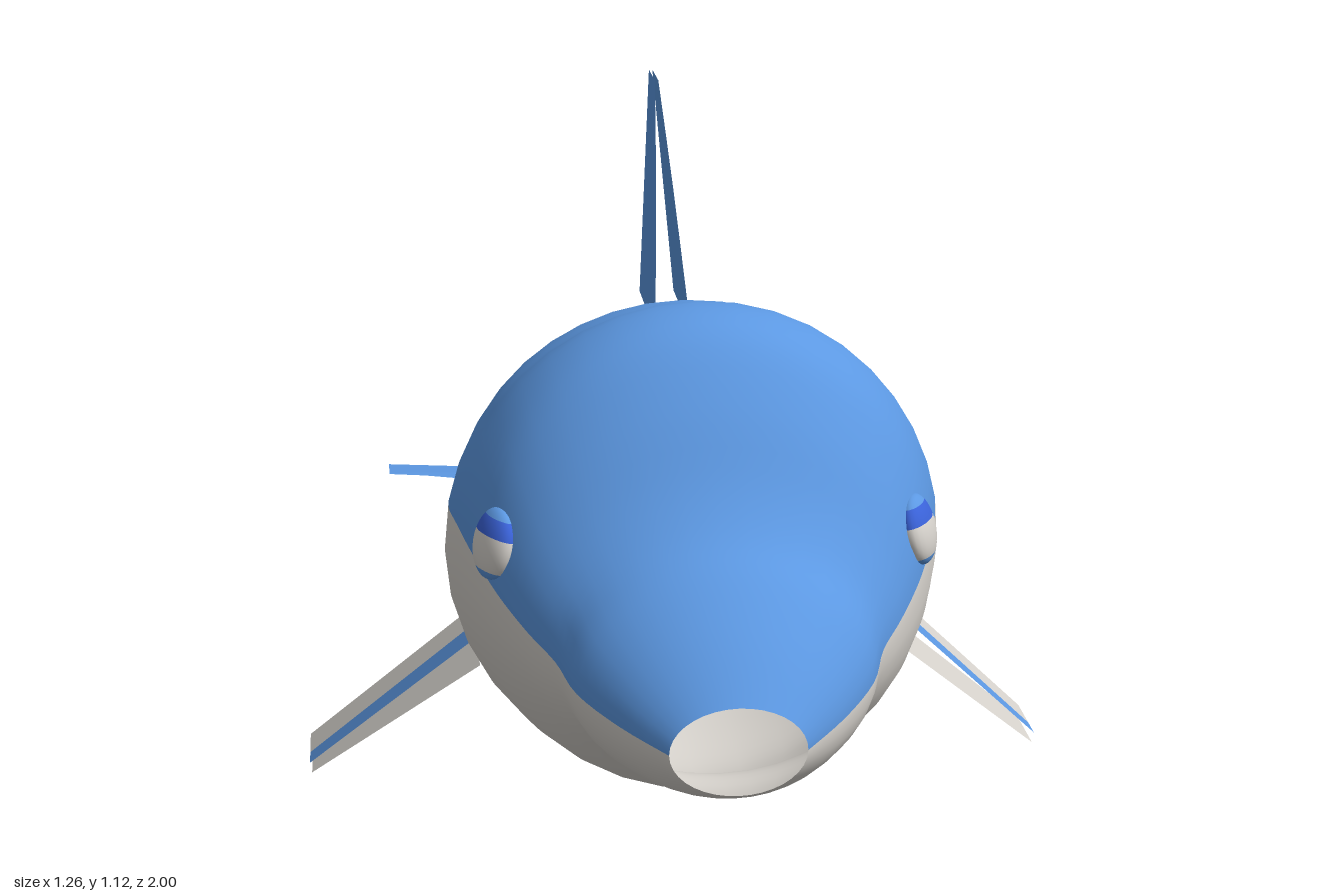
import * as THREE from 'three';

const mat = (name, color) => {
  const m = new THREE.MeshStandardMaterial({ color, side: THREE.DoubleSide });
  m.name = name;
  return m;
};

// Body stations, nose to tail: z, top, bottom, half width, height of colour line
const STATIONS = [
  [1.0, 0.435, 0.3, 0.1, 0.367],
  [0.93, 0.506, 0.265, 0.165, 0.385],
  [0.85, 0.57, 0.243, 0.22, 0.405],
  [0.78, 0.612, 0.237, 0.246, 0.428],
  [0.72, 0.675, 0.208, 0.285, 0.455],
  [0.65, 0.78, 0.162, 0.325, 0.49],
  [0.57, 0.868, 0.12, 0.358, 0.525],
  [0.48, 0.893, 0.093, 0.382, 0.546],
  [0.4, 0.87, 0.085, 0.396, 0.551],
  [0.3, 0.85, 0.107, 0.383, 0.55],
  [0.15, 0.806, 0.132, 0.358, 0.54],
  [0, 0.745, 0.142, 0.33, 0.505],
  [-0.2, 0.66, 0.132, 0.292, 0.42],
  [-0.4, 0.53, 0.127, 0.216, 0.325],
  [-0.6, 0.37, 0.112, 0.132, 0.228],
  [-0.75, 0.235, 0.095, 0.07, 0.155],
];

// Open tube of elliptical rings, each split into a back and a belly arc
function bodyGeometry(rings = 60, half = 18) {
  const curves = [1, 2, 3, 4].map(
    (k) => new THREE.SplineCurve(STATIONS.map((s) => new THREE.Vector2(s[0], s[k])))
  );
  const n = half * 2;
  const pos = [];
  for (let i = 0; i <= rings; i++) {
    const p = curves.map((c) => c.getPoint(i / rings));
    const [top, bottom, w, line] = p.map((v) => v.y);
    const cy = (top + bottom) / 2;
    const ry = (top - bottom) / 2;
    const a0 = Math.asin(THREE.MathUtils.clamp((line - cy) / ry, -0.9, 0.9));
    for (let j = 0; j < n; j++) {
      const a = j < half
        ? a0 + (j / half) * (Math.PI - 2 * a0)
        : Math.PI - a0 + ((j - half) / half) * (Math.PI + 2 * a0);
      pos.push(w * Math.cos(a), cy + ry * Math.sin(a), p[0].x);
    }
  }
  const index = [];
  const geo = new THREE.BufferGeometry();
  for (let g = 0; g < 2; g++) {
    const start = index.length;
    for (let i = 0; i < rings; i++) {
      for (let j = g * half; j < (g + 1) * half; j++) {
        const a = i * n + j;
        const b = i * n + ((j + 1) % n);
        index.push(a, a + n, b, b, a + n, b + n);
      }
    }
    geo.addGroup(start, index.length - start, g);
  }
  geo.setAttribute('position', new THREE.Float32BufferAttribute(pos, 3));
  geo.setIndex(index);
  geo.computeVertexNormals();
  return geo;
}

// Thin sheet: flat outline in (s, z), placed in space by the rule s -> [x, y]
function sheet(name, outline, place, material) {
  const geo = new THREE.ShapeGeometry(
    new THREE.Shape(outline.map(([s, z]) => new THREE.Vector2(s, z)))
  );
  const p = geo.attributes.position;
  for (let i = 0; i < p.count; i++) {
    const [x, y] = place(p.getX(i));
    p.setXYZ(i, x, y, p.getY(i));
  }
  geo.computeVertexNormals();
  const mesh = new THREE.Mesh(geo, material);
  mesh.name = name;
  return mesh;
}

export function createModel() {
  const blue = mat('skyBlue', 0x5c98e2);
  const grey = mat('bellyGrey', 0xd8d4ce);
  const royal = mat('irisBlue', 0x3a62d8);
  const model = new THREE.Group();
  model.name = 'dolphin';

  const body = new THREE.Mesh(bodyGeometry(), [blue, grey]);
  body.name = 'body';
  model.add(body);

  const dorsal = [
    [0.745, 0.11], [0.79, 0.085], [0.87, 0.035], [0.96, -0.025],
    [1.04, -0.09], [1.12, -0.16], [1.12, -0.265], [0.745, -0.165],
  ];
  const fluke = [
    [0, -0.76], [0.1, -0.82], [0.2, -0.873], [0.3, -0.912],
    [0.4, -0.934], [0.473, -0.94], [0.473, -1], [0, -0.88],
  ];
  // Flipper outlines run from root (s = 0) to tip (s = 1)
  const flipperBack = [[0, 0.28], [0, 0.355], [1, 0.125], [1, 0.045]];
  const flipperFront = [[0, 0.355], [0, 0.42], [1, 0.17], [1, 0.125]];
  const flipperUnder = [[0, 0.28], [0, 0.435], [1, 0.17], [1, 0.045]];

  for (const side of [1, -1]) {
    const label = side > 0 ? 'left' : 'right';

    // Dorsal fin: two sheets leaning together at the top
    model.add(sheet(label + 'DorsalFin', dorsal,
      (s) => [side * (0.003 + 0.027 * (1.12 - s) / 0.375), s], blue));

    // Tail fluke: upper and lower sheets closing towards the tip
    model.add(sheet(label + 'FlukeTop', fluke,
      (s) => [side * s, 0.18 - 0.02 * s], blue));
    model.add(sheet(label + 'FlukeUnder', fluke,
      (s) => [side * s, 0.145 + 0.05 * s], blue));

    // Flipper: striped upper sheet over a plain lower sheet
    const upper = (s) => [side * (0.355 + 0.273 * s), 0.328 - 0.31 * s];
    const lower = (s) => [side * (0.345 + 0.28 * s), 0.29 - 0.29 * s];
    model.add(sheet(label + 'FlipperTop', flipperBack, upper, grey));
    model.add(sheet(label + 'FlipperStripe', flipperFront, upper, blue));
    model.add(sheet(label + 'FlipperUnder', flipperUnder, lower, grey));

    // Eye: flattened ball in horizontal bands
    const eye = new THREE.Group();
    eye.name = label + 'Eye';
    const bands = [
      ['eyelid', 0, 0.24, blue], ['iris', 0.24, 0.42, royal],
      ['eyeWhite', 0.42, 0.76, grey], ['lowerLid', 0.76, 1, blue],
    ];
    for (const [name, from, to, material] of bands) {
      const band = new THREE.Mesh(
        new THREE.SphereGeometry(1, 24, 6, 0, Math.PI * 2, from * Math.PI, (to - from) * Math.PI),
        material
      );
      band.name = name;
      eye.add(band);
    }
    eye.scale.set(0.025, 0.056, 0.052);
    eye.rotation.set(0, -side * 0.4, side * 0.25);
    eye.position.set(side * 0.326, 0.56, 0.615);
    model.add(eye);
  }
  return model;
}
